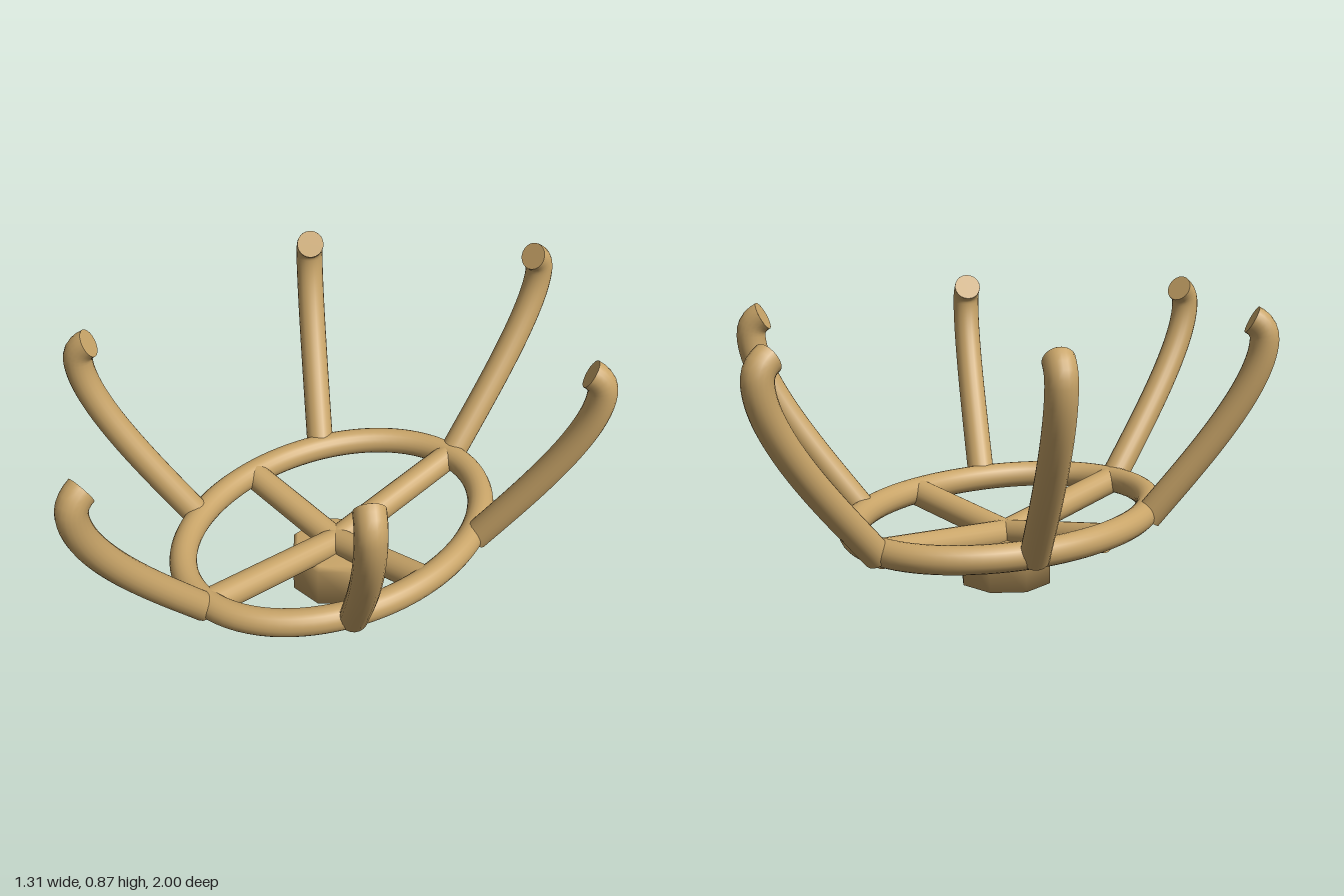
import * as THREE from 'three';

const material = new THREE.MeshStandardMaterial({ color: 0xc8a468, side: THREE.DoubleSide });
const TUBE = 0.044;
const RING_Y = 0.217, RING_X = 0.388, RING_Z = 0.538;

function addMesh(parent, name, geometry) {
  const mesh = new THREE.Mesh(geometry, material);
  mesh.name = name;
  parent.add(mesh);
  return mesh;
}

// Round bar along a curve, closed by a disc at each end
function addBar(parent, name, curve, steps, radius = TUBE) {
  const bar = new THREE.Group();
  bar.name = name;
  addMesh(bar, name + 'Shaft', new THREE.TubeGeometry(curve, steps, radius, 20));
  for (const [t, sign] of [[0, -1], [1, 1]]) {
    const cap = addMesh(bar, name + 'Cap', new THREE.CircleGeometry(radius, 20));
    const dir = curve.getTangentAt(t).multiplyScalar(sign);
    cap.quaternion.setFromUnitVectors(new THREE.Vector3(0, 0, 1), dir);
    cap.position.copy(curve.getPointAt(t));
  }
  parent.add(bar);
}

// Prong leaning out from its foot and curling inward at the tip
function prongCurve(foot, bend) {
  const inward = foot.clone().sub(bend).setY(0).normalize();
  const at = (f, y) => foot.clone().lerp(bend, f).setY(y);
  const tip = bend.clone().addScaledVector(inward, 0.039).setY(0.828);
  const path = new THREE.CurvePath();
  path.add(new THREE.CubicBezierCurve3(at(0, 0.21), at(0.37, 0.37), at(1, 0.62), at(1, 0.77)));
  path.add(new THREE.QuadraticBezierCurve3(at(1, 0.77), at(1, 0.807), tip));
  return path;
}

export function createModel() {
  const model = new THREE.Group();
  model.name = 'prongedHolder';

  // Eight-sided hub with a slightly bevelled top
  const profile = [[0, 0], [0.146, 0], [0.146, 0.128], [0.132, 0.143], [0, 0.143]]
    .map(([r, y]) => new THREE.Vector2(r, y));
  const hub = addMesh(model, 'hub', new THREE.LatheGeometry(profile, 8));
  hub.rotation.y = Math.PI / 8;

  // Oval ring
  const ringPoints = [];
  for (let i = 0; i < 48; i++) {
    const a = (i / 48) * Math.PI * 2;
    ringPoints.push(new THREE.Vector3(RING_X * Math.sin(a), RING_Y, RING_Z * Math.cos(a)));
  }
  const ringCurve = new THREE.CatmullRomCurve3(ringPoints, true);
  addMesh(model, 'ring', new THREE.TubeGeometry(ringCurve, 96, 0.042, 20, true));

  // Four spokes rising from the hub to the ring
  const centre = new THREE.Vector3(0, 0.148, 0);
  for (const s of [1, -1]) {
    addBar(model, 'sideSpoke', new THREE.LineCurve3(centre, new THREE.Vector3(s * 0.39, 0.213, 0)), 1);
    addBar(model, 'longSpoke', new THREE.LineCurve3(centre, new THREE.Vector3(0, 0.213, s * 0.54)), 1);
  }

  // Six prongs: one at each end and four on the diagonals
  for (const sz of [1, -1]) {
    addBar(model, 'endProng', prongCurve(
      new THREE.Vector3(0, 0, sz * 0.55), new THREE.Vector3(0, 0, sz * 0.956)), 48);
    for (const sx of [1, -1]) {
      addBar(model, 'diagonalProng', prongCurve(
        new THREE.Vector3(sx * 0.347, 0, sz * 0.272), new THREE.Vector3(sx * 0.61, 0, sz * 0.483)), 48);
    }
  }
  return model;
}
